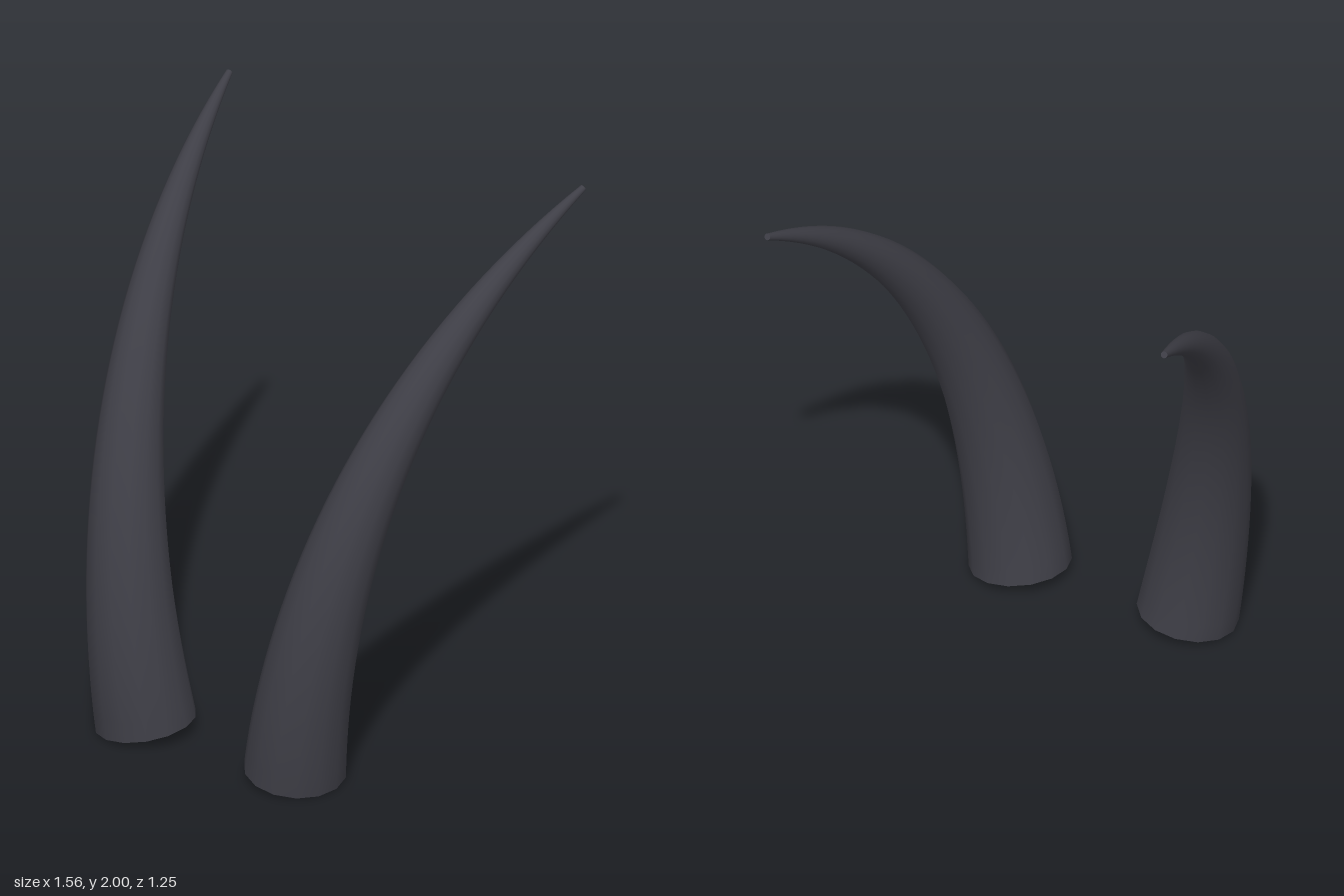
import * as THREE from 'three';

const SIDES = 14, RINGS = 36;

// Tapered round horn swept along a curve, with flat end caps
function hornGeometry(curve, radiusAt) {
  const pos = [], idx = [];
  const addRing = (t) => {
    const start = pos.length / 3;
    const c = curve.getPointAt(t), dir = curve.getTangentAt(t), r = radiusAt(t);
    const u = new THREE.Vector3(1, 0, 0).addScaledVector(dir, -dir.x).normalize();
    const v = new THREE.Vector3().crossVectors(dir, u);
    for (let j = 0; j < SIDES; j++) {
      const a = (j / SIDES) * Math.PI * 2;
      const p = c.clone().addScaledVector(u, r * Math.cos(a)).addScaledVector(v, r * Math.sin(a));
      pos.push(p.x, p.y, p.z);
    }
    return start;
  };
  // side wall
  for (let i = 0; i <= RINGS; i++) {
    const b = addRing(i / RINGS);
    if (i === 0) continue;
    const a = b - SIDES;
    for (let j = 0; j < SIDES; j++) {
      const k = (j + 1) % SIDES;
      idx.push(a + j, a + k, b + k, a + j, b + k, b + j);
    }
  }
  // caps on their own vertices, so the rims stay sharp
  const base = addRing(0), tip = addRing(1);
  for (let j = 1; j < SIDES - 1; j++) {
    idx.push(base, base + j + 1, base + j);
    idx.push(tip, tip + j, tip + j + 1);
  }
  const g = new THREE.BufferGeometry();
  g.setAttribute('position', new THREE.Float32BufferAttribute(pos, 3));
  g.setIndex(idx);
  g.computeVertexNormals();
  return g;
}

export function createModel() {
  const model = new THREE.Group();
  model.name = 'hornPair';
  const charcoal = new THREE.MeshStandardMaterial({ color: 0x3e3e46 });
  charcoal.name = 'charcoal horn';
  const radiusAt = (t) => 0.012 + 0.168 * (1 - Math.pow(t, 1.15));

  // each horn rises, splays outward and sweeps back
  for (const [name, s] of [['leftHorn', 1], ['rightHorn', -1]]) {
    const curve = new THREE.CubicBezierCurve3(
      new THREE.Vector3(s * 0.325, 0.03, 0.45),
      new THREE.Vector3(s * 0.44, 0.83, 0.52),
      new THREE.Vector3(s * 0.6, 1.59, 0.2),
      new THREE.Vector3(s * 0.77, 1.987, -0.62)
    );
    const horn = new THREE.Mesh(hornGeometry(curve, radiusAt), charcoal);
    horn.name = name;
    model.add(horn);
  }
  return model;
}
